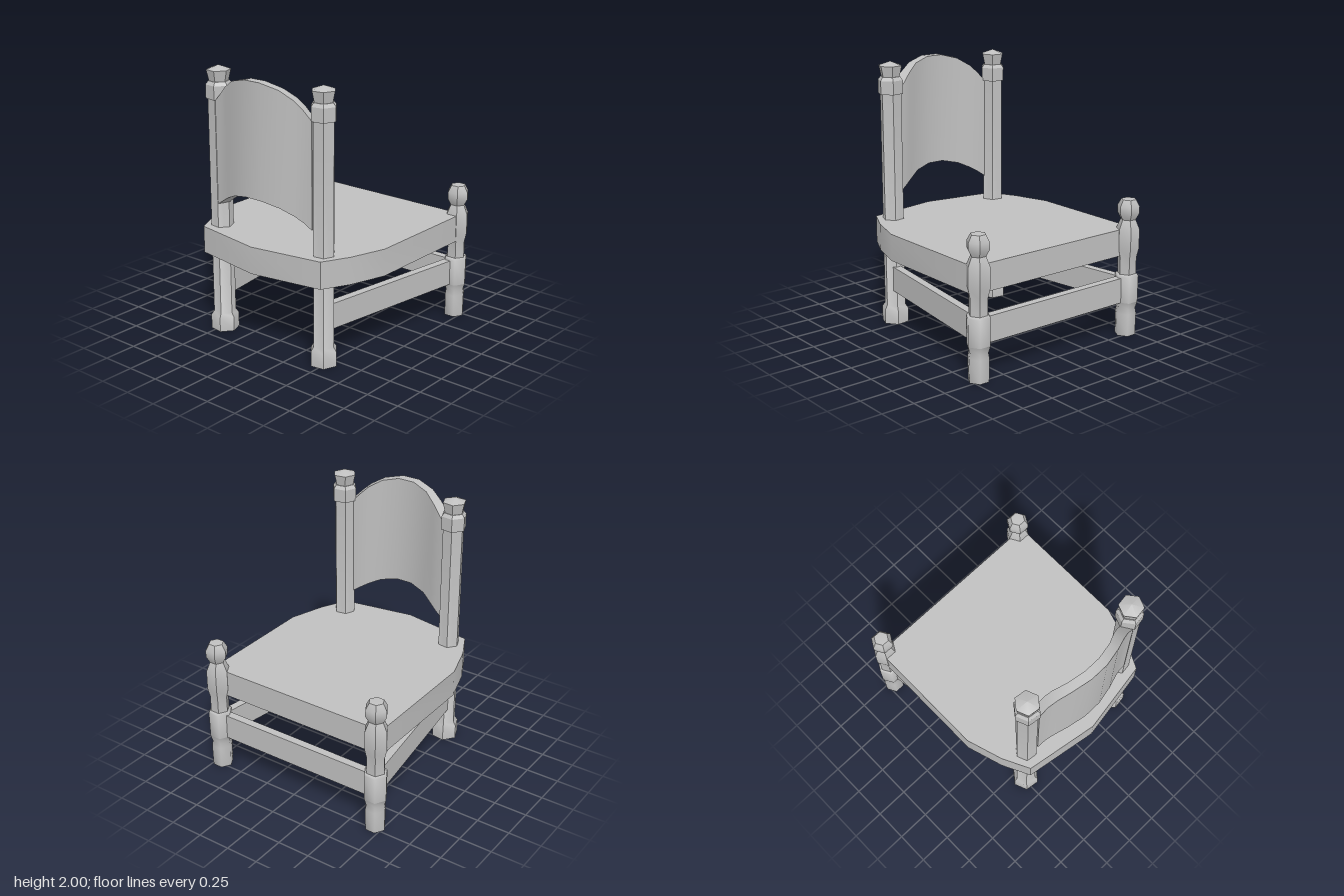
import * as THREE from 'three';
import { toCreasedNormals } from 'three/addons/utils/BufferGeometryUtils.js';

const wood = new THREE.MeshStandardMaterial({ color: 0xc0c0c0 });
wood.name = 'plain grey';

const SHARP = 0.6, SOFT = 1.2;

function part(name, geometry, crease = SHARP) {
  const mesh = new THREE.Mesh(toCreasedNormals(geometry, crease), wood);
  mesh.name = name;
  return mesh;
}

// Six-sided turned post from [radius, height] pairs, with corners on the x axis
function turned(name, profile, crease) {
  const points = profile.map(([r, y]) => new THREE.Vector2(r, y));
  return part(name, new THREE.LatheGeometry(points, 6).rotateY(Math.PI / 6), crease);
}

// Flat rail between two floor positions
function rail(name, x1, z1, x2, z2) {
  const length = Math.hypot(x2 - x1, z2 - z1);
  const mesh = part(name, new THREE.BoxGeometry(length, 0.19, 0.06));
  mesh.position.set((x1 + x2) / 2, 0.355, (z1 + z2) / 2);
  mesh.rotation.y = -Math.atan2(z2 - z1, x2 - x1);
  return mesh;
}

function createSeat() {
  const half = [[0.735, -0.72], [0.735, 0.23], [0.65, 0.5], [0.55, 0.7]];
  const outline = [...half, [0, 0.79], ...half.map(([x, z]) => [-x, z]).reverse()];
  const shape = new THREE.Shape(outline.map(([x, z]) => new THREE.Vector2(x, -z)));
  const geometry = new THREE.ExtrudeGeometry(shape, { depth: 0.2, bevelEnabled: false });
  geometry.rotateX(-Math.PI / 2).translate(0, 0.615, 0);
  return part('seat', geometry);
}

// Bowed, arched back panel: [x, outer z, inner z, top y, bottom y] per section
function createBackPanel() {
  const half = [
    [0.07, 0.755, 0.685, 1.98, 1.155],
    [0.21, 0.722, 0.655, 1.945, 1.125],
    [0.31, 0.685, 0.612, 1.885, 1.08],
    [0.37, 0.665, 0.592, 1.83, 1.045],
    [0.44, 0.655, 0.58, 1.76, 1.0],
  ];
  const sections = [...half.map(([x, ...rest]) => [-x, ...rest]).reverse(), ...half];
  const positions = [], index = [];
  sections.forEach(([x, zo, zi, top, bottom], s) => {
    const xi = x * 0.92;
    positions.push(x, bottom, zo, x, top, zo, xi, top, zi, xi, bottom, zi);
    if (s === sections.length - 1) return;
    for (let j = 0; j < 4; j++) {
      const a = s * 4 + j, d = s * 4 + (j + 1) % 4;
      index.push(a, a + 4, d + 4, a, d + 4, d);
    }
  });
  const e = (sections.length - 1) * 4;
  index.push(0, 1, 2, 0, 2, 3, e, e + 2, e + 1, e, e + 3, e + 2);
  const geometry = new THREE.BufferGeometry();
  geometry.setAttribute('position', new THREE.Float32BufferAttribute(positions, 3));
  geometry.setIndex(index);
  return part('backPanel', geometry);
}

export function createModel() {
  const chair = new THREE.Group();
  chair.name = 'chair';
  chair.add(createSeat(), createBackPanel());

  for (const side of [-1, 1]) {
    const label = side > 0 ? 'left' : 'right';

    // Tall post carrying the back panel, with a flared cap
    const post = turned(label + 'BackPost', [
      [0, 0], [0.103, 0], [0.103, 0.11], [0.081, 0.14], [0.081, 1.76],
      [0.095, 1.76], [0.095, 1.86], [0.075, 1.885], [0.07, 1.885],
      [0.088, 1.965], [0, 1.997],
    ]);
    post.position.set(side * 0.478, 0, 0.577);
    post.rotation.y = side * THREE.MathUtils.degToRad(8);

    // Short leg: rounded foot and block, then a faceted shaft and ball
    const leg = new THREE.Group();
    leg.name = label + 'ShortLeg';
    leg.add(
      turned('foot', [
        [0, 0], [0.077, 0], [0.08, 0.17], [0.072, 0.21], [0.087, 0.26],
      ], SOFT),
      turned('block', [
        [0.087, 0.26], [0.089, 0.46], [0.078, 0.475], [0.07, 0.475],
      ], SOFT),
      turned('shaft', [
        [0.07, 0.475], [0.07, 0.6], [0.087, 0.67], [0.087, 0.815], [0.056, 0.885],
      ]),
      turned('ballTop', [
        [0.056, 0.885], [0.083, 0.935], [0.083, 0.985], [0.055, 1.035], [0, 1.038],
      ]),
    );
    leg.position.set(side * 0.695, 0, -0.722);

    chair.add(post, leg, rail(label + 'SideRail', side * 0.675, -0.715, side * 0.49, 0.56));
  }

  chair.add(rail('crossRail', -0.69, -0.714, 0.69, -0.714));
  return chair;
}
